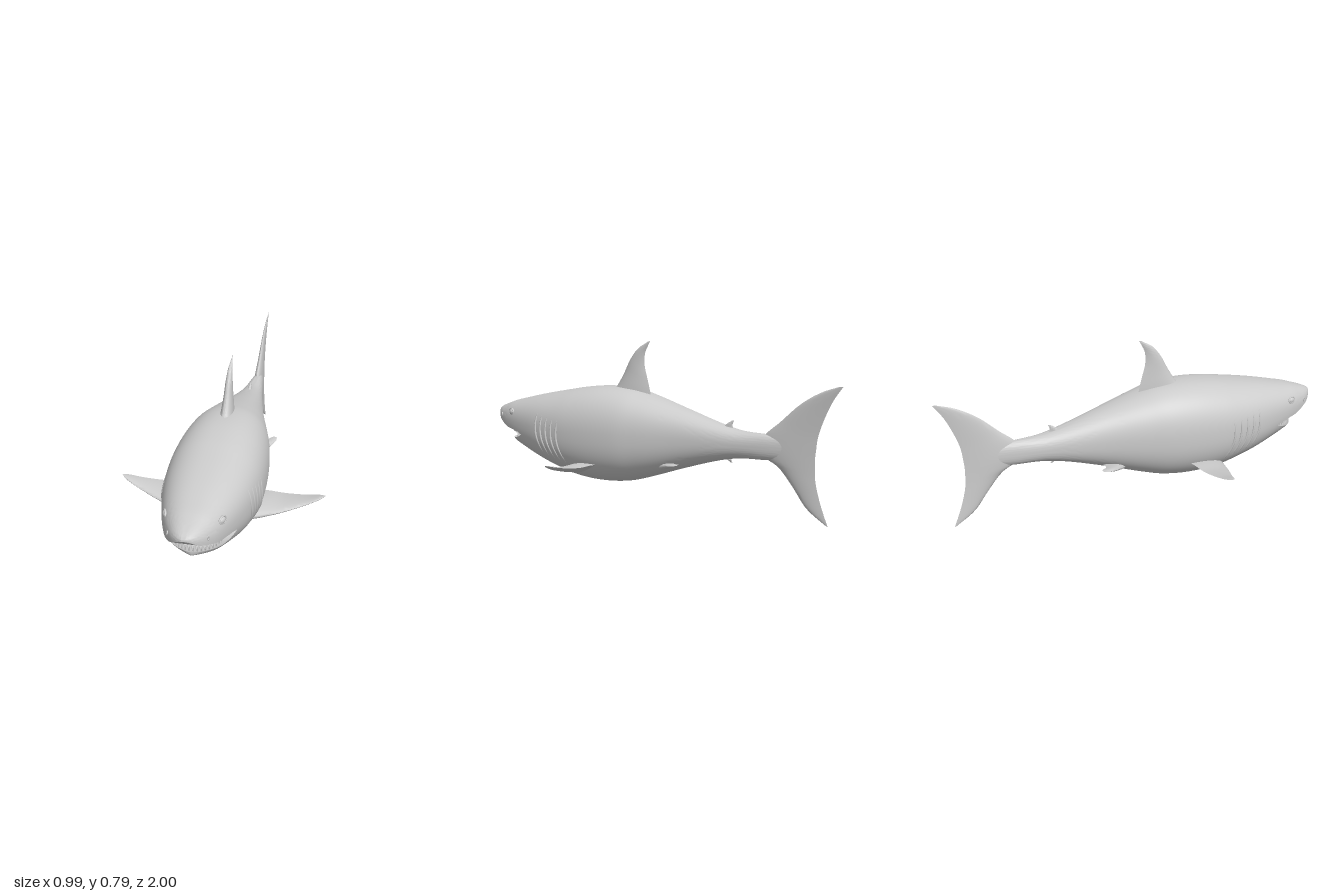
import * as THREE from 'three';
import { mergeGeometries, toCreasedNormals } from 'three/addons/utils/BufferGeometryUtils.js';

const grey = new THREE.MeshStandardMaterial({ color: 0xcccccc, side: THREE.DoubleSide });
const V = (x, y, z) => new THREE.Vector3(x, y, z);
const { lerp, smoothstep, clamp } = THREE.MathUtils;

function mesh(name, geometry) {
  const m = new THREE.Mesh(geometry, grey);
  m.name = name;
  return m;
}

// Smooth lookup through rows of [key, ...values], keys ascending
function table(rows) {
  const n = rows[0].length - 1;
  const curve = new THREE.CubicInterpolant(rows.map(r => r[0]), rows.flatMap(r => r.slice(1)), n);
  return z => [...curve.evaluate(clamp(z, rows[0][0], rows[rows.length - 1][0]))];
}

// Surface through equally long rows of points
function grid(rows) {
  const n = rows[0].length, index = [];
  for (let i = 0; i < rows.length - 1; i++)
    for (let j = 0; j < n - 1; j++) {
      const a = i * n + j, b = a + n;
      index.push(a, b, a + 1, b, b + 1, a + 1);
    }
  const g = new THREE.BufferGeometry().setFromPoints(rows.flat());
  g.setIndex(index);
  return g;
}

// Body stations: z, top, bottom, half width
const station = table([
  [-0.82, 0.345, 0.31, 0.004], [-0.75, 0.375, 0.285, 0.015], [-0.66, 0.388, 0.272, 0.03],
  [-0.5, 0.395, 0.264, 0.055], [-0.4, 0.415, 0.245, 0.075], [-0.2, 0.47, 0.185, 0.12],
  [0, 0.525, 0.118, 0.175], [0.1, 0.548, 0.09, 0.2], [0.25, 0.556, 0.075, 0.219],
  [0.4, 0.542, 0.085, 0.223], [0.5, 0.524, 0.108, 0.215], [0.6, 0.505, 0.136, 0.2],
  [0.7, 0.484, 0.17, 0.176], [0.8, 0.46, 0.206, 0.145], [0.87, 0.443, 0.23, 0.117],
  [0.9, 0.433, 0.243, 0.102], [0.95, 0.416, 0.288, 0.072], [0.98, 0.404, 0.335, 0.044],
  [0.993, 0.397, 0.36, 0.025], [1, 0.388, 0.38, 0.001],
]);
const upperLip = table([[0.72, 0.285], [0.76, 0.296], [0.8, 0.302], [0.87, 0.312], [0.92, 0.33], [0.97, 0.354], [1, 0.384]]);
const lowerLip = table([[0.72, 0.285], [0.76, 0.266], [0.8, 0.258], [0.88, 0.249]]);
const CORNER = 0.72, JAW_TIP = 0.878, POWER = 2.35;

function section(z) {
  const [top, bottom, width] = station(z);
  return { mid: (top + bottom) / 2, half: (top - bottom) / 2, width };
}

// Height at which the section divides, as a share of its half height
function division(z, lip) {
  const s = section(Math.max(z, CORNER));
  const d = clamp((lip(Math.max(z, CORNER))[0] - s.mid) / s.half, -0.97, 0.97);
  return d * (z < CORNER ? smoothstep(z, 0.3, CORNER) : 1);
}

function sideX(z, y) {
  const s = section(z);
  return s.width * (1 - Math.abs(clamp((y - s.mid) / s.half, -1, 1)) ** POWER) ** (1 / POWER);
}

// Skin arc above (up = 1) or below (up = -1) the dividing line
function arc(z, up) {
  const s = section(z), d = division(z, up > 0 ? upperLip : lowerLip), N = 40;
  const narrow = up < 0 && z > 0.8 ? Math.sqrt(Math.max(0, 1 - ((z - 0.8) / (JAW_TIP - 0.8)) ** 2)) : 1;
  const a0 = Math.asin(Math.sign(d) * Math.abs(d) ** (POWER / 2));
  const start = up > 0 ? a0 : Math.PI - a0, end = up > 0 ? Math.PI - a0 : 2 * Math.PI + a0;
  const pow = v => Math.sign(v) * Math.abs(v) ** (2 / POWER);
  return Array.from({ length: N + 1 }, (_, j) => {
    const a = lerp(start, end, j / N);
    return V(s.width * narrow * pow(Math.cos(a)), s.mid + s.half * pow(Math.sin(a)), z);
  });
}

// Mouth lining between the two ends of a skin arc
function lining(z, up) {
  const edge = arc(z, up), a = edge[edge.length - 1], b = edge[0];
  const vault = z < 0.88 ? up * 0.026 * Math.sin(Math.PI * (z - CORNER) / 0.16) : 0;
  return Array.from({ length: 17 }, (_, j) => {
    const t = j / 16, p = a.clone().lerp(b, t);
    p.y += vault * 4 * t * (1 - t);
    return p;
  });
}

function buildBody() {
  const span = (a, b, n, f = u => u) => Array.from({ length: n }, (_, i) => lerp(a, b, f(i / n)));
  const snout = span(1, JAW_TIP, 18, u => u * u);
  const mouth = span(JAW_TIP, CORNER, 24, u => u ** 1.4);
  const trunk = [...span(CORNER, -0.82, 80), -0.82];
  const jaw = [...mouth, CORNER];
  const parts = [
    grid([...snout, ...mouth, ...trunk].map(z => arc(z, 1))),
    grid([...mouth, ...trunk].map(z => arc(z, -1))),
    grid([...snout, ...jaw].map(z => lining(z, 1))),
    grid(jaw.map(z => lining(z, -1))),
  ];
  return mesh('body', toCreasedNormals(mergeGeometries(parts), 0.8));
}

// Fin from rows of [leading point, trailing point, half thickness]
function fin(name, rows, thickDir) {
  const lead = new THREE.CatmullRomCurve3(rows.map(r => r[0]));
  const trail = new THREE.CatmullRomCurve3(rows.map(r => r[1]));
  const thick = table(rows.map((r, i) => [i / (rows.length - 1), r[2]]));
  const N = 36, K = 24;
  const loops = Array.from({ length: N + 1 }, (_, i) => {
    const u = i / N, a = lead.getPoint(u), b = trail.getPoint(u), h = Math.max(0, thick(u)[0]);
    return Array.from({ length: K + 1 }, (_, j) => {
      const t = (1 - Math.cos(2 * Math.PI * j / K)) / 2;
      const foil = j % K ? 2.6 * Math.sqrt(t) * (1 - t) * (j < K / 2 ? 1 : -1) : 0;
      return a.clone().lerp(b, t).addScaledVector(thickDir, foil * h);
    });
  });
  return mesh(name, toCreasedNormals(grid(loops), 0.9));
}

// Upright fin on the centre line; rows of [lead z, lead y, trail z, trail y, half thickness]
const uprightFin = (name, rows) =>
  fin(name, rows.map(([a, b, c, d, h]) => [V(0, b, a), V(0, d, c), h]), V(1, 0, 0));
// Level fin on the side; rows of [x, lead y, lead z, trail y, trail z, half thickness]
const sideFin = (name, rows) =>
  fin(name, rows.map(([x, a, b, c, d, h]) => [V(x, a, b), V(x, c, d), h]), V(0, 1, 0));

// Row of pointed teeth along an arched gum line
function teeth(name, lip, dir, halfWidth, depth, count) {
  const cones = [];
  for (let i = 0; i < count; i++) {
    const a = lerp(-1.45, 1.45, i / (count - 1)), size = 0.65 + 0.35 * Math.cos(a);
    const z = 0.74 + depth * Math.cos(a), h = 0.036 * size;
    const g = new THREE.ConeGeometry(0.0095 * size, h, 6);
    if (dir < 0) g.rotateX(Math.PI);
    g.translate(halfWidth * Math.sin(a), lip(z)[0] + dir * (h / 2 - 0.01), z);
    cones.push(g);
  }
  return mesh(name, mergeGeometries(cones));
}

// Everything paired, built on +x and mirrored by scale
function buildSide(side) {
  const g = new THREE.Group();
  g.name = side > 0 ? 'leftSide' : 'rightSide';
  g.scale.x = side;
  g.add(sideFin('pectoralFin', [
    [0.13, 0.133, 0.41, 0.178, 0.2, 0.028], [0.22, 0.146, 0.385, 0.185, 0.212, 0.02],
    [0.3, 0.162, 0.36, 0.185, 0.22, 0.013], [0.4, 0.187, 0.32, 0.198, 0.236, 0.008],
    [0.47, 0.211, 0.291, 0.214, 0.25, 0.005], [0.495, 0.221, 0.272, 0.221, 0.265, 0],
  ]));
  g.add(sideFin('pelvicFin', [
    [0.06, 0.18, -0.06, 0.212, -0.215, 0.016], [0.125, 0.2, -0.135, 0.222, -0.22, 0.011],
    [0.16, 0.214, -0.18, 0.227, -0.255, 0.007], [0.18, 0.222, -0.225, 0.227, -0.25, 0],
  ]));

  // Eye with a lid rim
  const eye = new THREE.Group();
  eye.name = 'eye';
  const ball = mesh('eyeball', new THREE.SphereGeometry(0.019, 24, 16));
  ball.scale.set(0.5, 0.75, 1);
  const lid = mesh('eyelid', new THREE.TorusGeometry(0.022, 0.005, 10, 32));
  lid.rotation.y = Math.PI / 2;
  lid.scale.y = 0.75;
  eye.add(ball, lid);
  eye.position.set(sideX(0.823, 0.392) - 0.001, 0.392, 0.823);
  eye.rotation.set(0, -0.4, 0.12);
  g.add(eye);

  const nostril = mesh('nostril', new THREE.TorusGeometry(0.009, 0.004, 8, 20));
  nostril.position.set(sideX(0.925, 0.365) - 0.001, 0.365, 0.925);
  nostril.rotation.y = 0.95;
  nostril.scale.x = 0.6;
  g.add(nostril);

  // Gill flaps following the skin
  for (let i = 0; i < 5; i++) {
    const pts = Array.from({ length: 9 }, (_, k) => {
      const t = k / 8, y = lerp(0.41 - 0.006 * i, 0.21 - 0.008 * i, t);
      const z = 0.585 - 0.038 * i - 0.035 * t + 0.018 * Math.sin(Math.PI * t);
      return V(sideX(z, y) - 0.006 + 0.006 * Math.sin(Math.PI * t), y, z);
    });
    g.add(mesh('gill', new THREE.TubeGeometry(new THREE.CatmullRomCurve3(pts), 32, 0.006, 8)));
  }
  return g;
}

export function createModel() {
  const model = new THREE.Group();
  model.name = 'shark';
  model.add(buildBody());
  model.add(uprightFin('dorsalFin', [
    [0.235, 0.535, 0.005, 0.5, 0.032], [0.205, 0.567, 0.014, 0.55, 0.028], [0.165, 0.63, 0.03, 0.61, 0.021],
    [0.13, 0.695, 0.045, 0.67, 0.016], [0.085, 0.75, 0.042, 0.73, 0.01], [0.025, 0.787, 0.012, 0.79, 0],
  ]));
  model.add(uprightFin('tailFin', [
    [-0.985, 0.63, -1, 0.63, 0], [-0.9, 0.6, -0.955, 0.565, 0.005], [-0.8, 0.54, -0.915, 0.48, 0.009],
    [-0.7, 0.45, -0.888, 0.4, 0.014], [-0.625, 0.385, -0.88, 0.34, 0.019], [-0.6, 0.33, -0.876, 0.3, 0.021],
    [-0.625, 0.285, -0.876, 0.26, 0.019], [-0.695, 0.245, -0.88, 0.2, 0.014], [-0.77, 0.16, -0.9, 0.12, 0.009],
    [-0.84, 0.07, -0.925, 0.05, 0.006], [-0.935, 0.005, -0.945, 0.002, 0],
  ]));
  model.add(uprightFin('secondDorsalFin', [
    [-0.4, 0.4, -0.46, 0.395, 0.009], [-0.43, 0.424, -0.455, 0.418, 0.006], [-0.453, 0.438, -0.463, 0.438, 0],
  ]));
  model.add(uprightFin('analFin', [
    [-0.4, 0.262, -0.455, 0.275, 0.009], [-0.43, 0.25, -0.45, 0.255, 0.006], [-0.448, 0.238, -0.458, 0.238, 0],
  ]));
  model.add(teeth('upperTeeth', upperLip, -1, 0.14, 0.125, 22));
  model.add(teeth('lowerTeeth', lowerLip, 1, 0.116, 0.112, 20));
  model.add(buildSide(1), buildSide(-1));
  return model;
}
